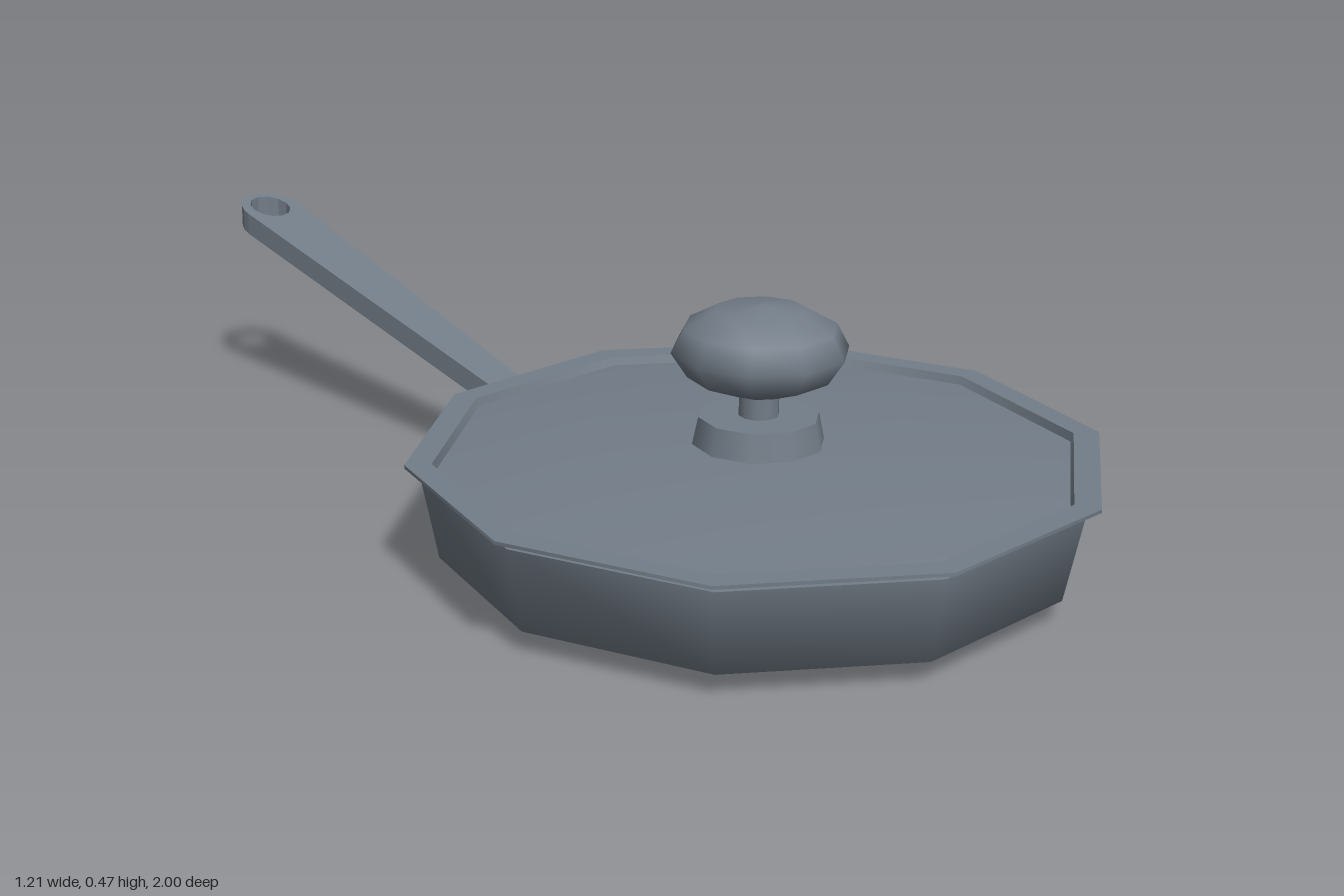
import * as THREE from 'three';
import { mergeGeometries } from 'three/addons/utils/BufferGeometryUtils.js';

const SIDES = 10;
const PAN_Z = 0.42;

// Ten-sided turned part; each section is smooth, with a sharp edge between sections.
function turned(name, material, sections) {
  const parts = sections.map((pts) => new THREE.LatheGeometry(
    pts.map(([r, y]) => new THREE.Vector2(r, y)), SIDES, Math.PI / 2));
  const mesh = new THREE.Mesh(mergeGeometries(parts), material);
  mesh.name = name;
  mesh.position.z = PAN_Z;
  return mesh;
}

export function createModel() {
  const metal = new THREE.MeshStandardMaterial({ color: 0x737d88 });
  metal.name = 'slate grey metal';
  const group = new THREE.Group();
  group.name = 'lidded frying pan';

  // Hollow pan body with a chamfered base
  group.add(turned('panBody', metal, [
    [[0, 0], [0.44, 0]],
    [[0.44, 0], [0.55, 0.04], [0.58, 0.19]],
    [[0.58, 0.19], [0.555, 0.19]],
    [[0.555, 0.19], [0.525, 0.05], [0.43, 0.02]],
    [[0.43, 0.02], [0, 0.02]],
  ]));

  // Lid: locating skirt, thin flange, recessed shallow dome
  group.add(turned('lid', metal, [
    [[0, 0.188], [0.566, 0.188]],
    [[0.566, 0.188], [0.566, 0.205]],
    [[0.566, 0.205], [0.606, 0.205]],
    [[0.606, 0.205], [0.606, 0.211]],
    [[0.606, 0.211], [0.56, 0.211]],
    [[0.56, 0.211], [0.555, 0.196]],
    [[0.555, 0.196], [0.31, 0.222], [0, 0.226]],
  ]));

  // Knob: collar, neck and flattened ball
  group.add(turned('knobCollar', metal, [
    [[0.116, 0.22], [0.105, 0.273]],
    [[0.105, 0.273], [0, 0.273]],
  ]));
  group.add(turned('knobNeck', metal, [[[0.035, 0.27], [0.035, 0.325]]]));
  group.add(turned('knob', metal, [
    [[0, 0.314], [0.055, 0.317], [0.125, 0.345], [0.154, 0.389],
      [0.132, 0.43], [0.08, 0.459], [0, 0.469]],
  ]));

  // Handle: tapered bar with a round, pierced end, sheared upward to the back
  const bar = new THREE.Shape();
  bar.moveTo(-0.034, 0.11);
  bar.lineTo(0.034, 0.11);
  bar.lineTo(0.063, 0.937);
  bar.absarc(0, 0.937, 0.063, 0, Math.PI, false);
  bar.closePath();
  const hole = new THREE.Path();
  hole.absarc(0, 0.945, 0.041, 0, Math.PI * 2, true);
  bar.holes.push(hole);
  const barGeo = new THREE.ExtrudeGeometry(bar, { depth: 0.043, bevelEnabled: false, curveSegments: 6 });
  barGeo.rotateX(-Math.PI / 2);
  const pos = barGeo.attributes.position;
  for (let i = 0; i < pos.count; i++) {
    pos.setY(i, pos.getY(i) + 0.108 + 0.286 * (-pos.getZ(i) - 0.14));
  }
  barGeo.computeVertexNormals();
  const handle = new THREE.Mesh(barGeo, metal);
  handle.name = 'handle';
  group.add(handle);

  // Mounting plate, narrowing downward and leaning with the pan wall
  const plate = new THREE.Shape([
    [-0.04, 0.065], [0.04, 0.065], [0.068, 0.1], [0.068, 0.185], [-0.068, 0.185], [-0.068, 0.1],
  ].map(([x, y]) => new THREE.Vector2(x, y)));
  const plateGeo = new THREE.ExtrudeGeometry(plate, { depth: 0.03, bevelEnabled: false });
  const pp = plateGeo.attributes.position;
  for (let i = 0; i < pp.count; i++) {
    pp.setZ(i, pp.getZ(i) - 0.108 - 0.19 * pp.getY(i));
  }
  plateGeo.computeVertexNormals();
  const mount = new THREE.Mesh(plateGeo, metal);
  mount.name = 'handleMount';
  group.add(mount);

  return group;
}
